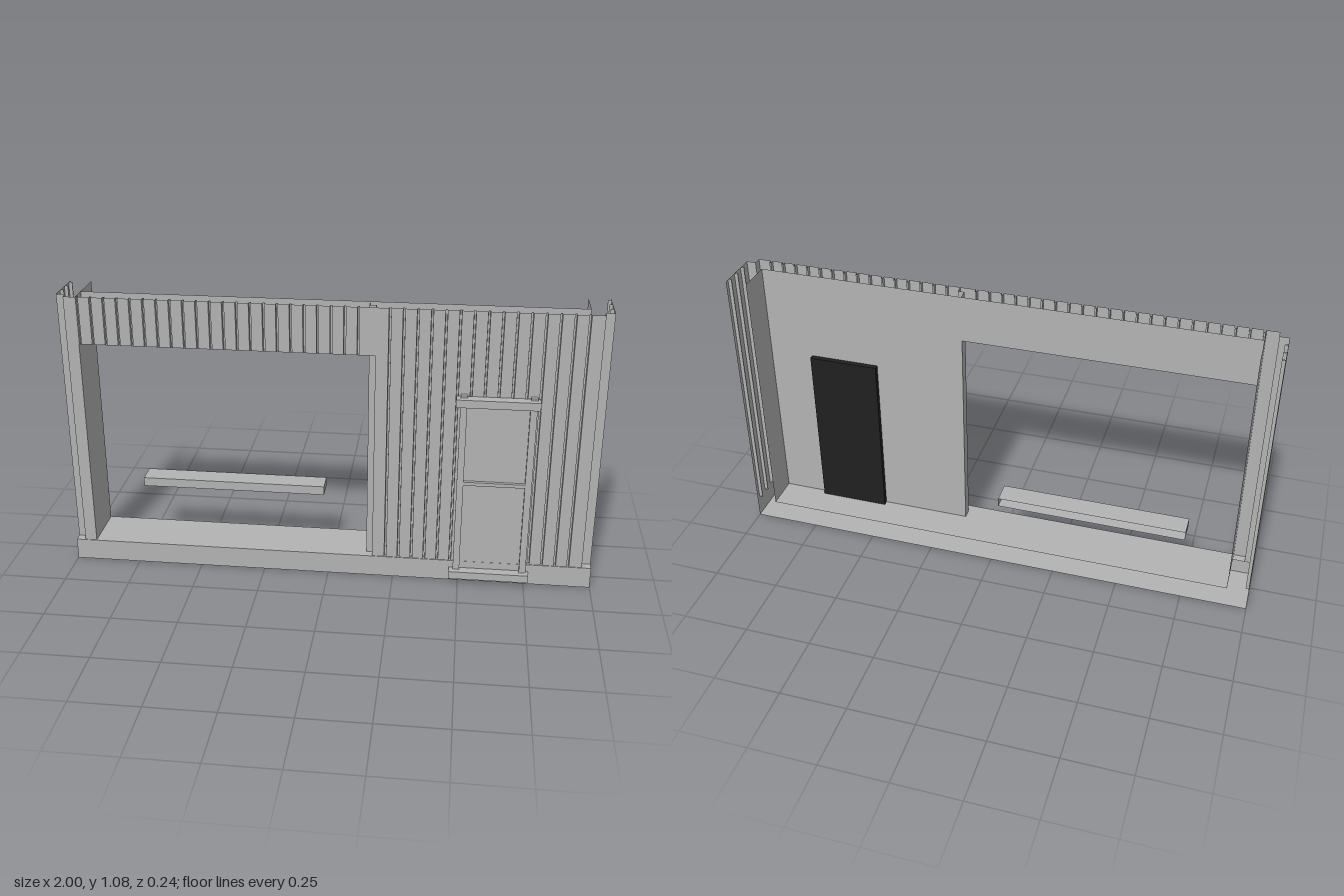
import * as THREE from 'three';

const grey = new THREE.MeshStandardMaterial({ name: 'paintedMetalGrey', color: 0xb3b3b3, side: THREE.DoubleSide });
const black = new THREE.MeshStandardMaterial({ name: 'panelBlack', color: 0x202020 });

const BASE = 0.083, TOP = 1.08, SILL = 0.9;

export function createModel() {
  const model = new THREE.Group();
  model.name = 'facadeWall';

  const add = (name, geometry, material = grey) => {
    const mesh = new THREE.Mesh(geometry, material);
    mesh.name = name;
    model.add(mesh);
    return mesh;
  };

  const box = (name, x0, x1, y0, y1, z0, z1, material) =>
    add(name, new THREE.BoxGeometry(x1 - x0, y1 - y0, z1 - z0), material)
      .position.set((x0 + x1) / 2, (y0 + y1) / 2, (z0 + z1) / 2);

  // Thin sheet: a plan path of [x, z] points raised from y0 to y1
  const sheet = (name, path, y0, y1) => {
    const p = [];
    for (let i = 0; i + 1 < path.length; i++) {
      const [ax, az] = path[i], [bx, bz] = path[i + 1];
      p.push(ax, y0, az, bx, y0, bz, bx, y1, bz, ax, y0, az, bx, y1, bz, ax, y1, az);
    }
    const g = new THREE.BufferGeometry();
    g.setAttribute('position', new THREE.Float32BufferAttribute(p, 3));
    g.computeVertexNormals();
    add(name, g);
  };

  // Horizontal plate facing up
  const plate = (name, x0, x1, z0, z1, y) => {
    const g = new THREE.PlaneGeometry(x1 - x0, z1 - z0).rotateX(-Math.PI / 2);
    add(name, g).position.set((x0 + x1) / 2, y, (z0 + z1) / 2);
  };

  // Narrow grooves cut in a front face at z = 0.08
  const frontGrooves = (start, pitch, count) => {
    const pts = [];
    for (let i = 0; i < count; i++) {
      const x = start + i * pitch;
      pts.push([x - 0.004, 0.08], [x - 0.003, 0.066], [x + 0.003, 0.066], [x + 0.004, 0.08]);
    }
    return pts;
  };

  // Notched corner and grooved end wall, from the front to the back
  const endPath = (s) => {
    const pts = [[s * 0.965, 0.08], [s * 0.965, 0.05], [s, 0.05]];
    for (const z of [0, -0.05, -0.1]) {
      pts.push([s, z + 0.003], [s * 0.987, z + 0.002], [s * 0.987, z - 0.002], [s, z - 0.003]);
    }
    pts.push([s, -0.12]);
    return pts;
  };

  // Base trough, open at the back
  sheet('baseSkirt', [[-1, -0.12], [-1, 0.083], [1, 0.083], [1, -0.12]], 0, BASE);
  plate('baseFloor', -1, 1, -0.12, 0.083, 0);
  plate('baseTop', -0.92, 0.92, -0.12, 0.05, BASE);
  plate('baseFrontLip', -1, 1, 0.05, 0.083, BASE);

  // Right-hand cladding with its jamb and end wall
  sheet('wallCladding', [
    [0.145, 0.01], [0.145, 0.05], [0.17, 0.05], [0.17, 0.08],
    ...frontGrooves(0.22, 0.0495, 15), ...endPath(1),
  ], BASE, TOP);
  sheet('wallLining', [[0.145, 0.01], [0.92, 0.01], [0.92, -0.12]], BASE, TOP);

  // Pier on the far side of the opening
  sheet('endPier', [[-0.92, -0.12], [-0.92, 0.08], ...endPath(-1)], BASE, TOP);

  // Header over the opening
  sheet('headerCladding', [[-0.92, 0.08], ...frontGrooves(-0.9145, 0.0487, 22), [0.17, 0.08]], SILL, TOP);
  sheet('headerLining', [[-0.92, 0.01], [0.145, 0.01]], SILL, TOP);
  plate('headerSoffit', -0.92, 0.17, 0.01, 0.08, SILL);

  // Ledge in the opening, open at the back
  sheet('ledgeSkirt', [[-0.745, -0.12], [-0.745, -0.035], [-0.03, -0.035], [-0.03, -0.12]], 0.275, 0.31);
  plate('ledgeTop', -0.745, -0.03, -0.12, -0.035, 0.31);
  plate('ledgeBottom', -0.745, -0.03, -0.12, -0.035, 0.275);

  // Door frame on the front
  for (const y of [0.025, 0.73]) box('frameRail', 0.465, 0.765, y, y + 0.03, 0.08, 0.12);
  for (const x of [0.48, 0.73]) box('framePost', x, x + 0.025, 0.018, 0.768, 0.08, 0.098);
  box('frameCrossbar', 0.505, 0.73, 0.41, 0.424, 0.08, 0.095);
  box('doorPanel', 0.505, 0.73, BASE, 0.73, 0.078, 0.082);

  // Dark panel on the back of the wall
  box('backPanel', 0.485, 0.75, 0.075, 0.735, -0.01, 0.012, black);

  return model;
}
